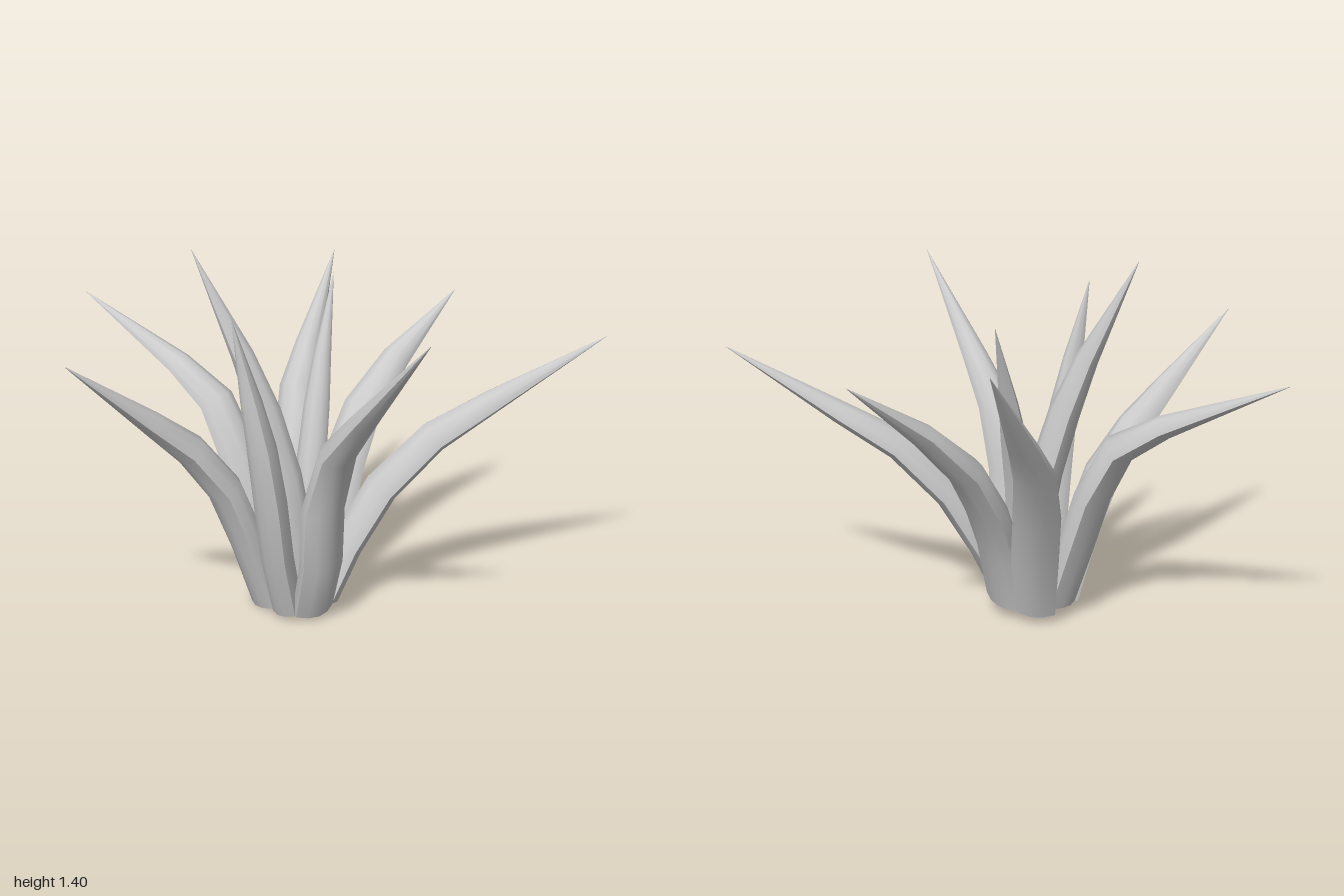
import * as THREE from 'three';

const material = new THREE.MeshStandardMaterial({ color: 0xcccccc, side: THREE.DoubleSide });

// Each leaf: width and depth factors, and its spine from base to tip
const LEAVES = {
  leftFrontLeaf: [0.92, 1, [[-0.01, 0.045, 0.09], [0.08, 0.25, 0.1], [0.215, 0.485, 0.135], [0.4, 0.685, 0.2], [0.61, 0.82, 0.27], [1, 1.08, 0.44]]],
  leftBackLeaf: [1.08, 1, [[0.04, 0.07, -0.05], [0.09, 0.3, -0.09], [0.17, 0.5, -0.15], [0.28, 0.69, -0.21], [0.46, 0.87, -0.265], [0.76, 1.1, -0.33]]],
  backLeaf: [0.95, 1, [[-0.03, 0.06, -0.14], [0, 0.29, -0.22], [0.04, 0.52, -0.33], [0.1, 0.73, -0.44], [0.19, 0.88, -0.54], [0.4, 1.21, -0.75]]],
  rightBackLeaf: [1, 1, [[-0.14, 0.07, -0.12], [-0.18, 0.3, -0.18], [-0.22, 0.54, -0.25], [-0.28, 0.75, -0.35], [-0.38, 0.87, -0.51], [-0.65, 1.1, -0.9]]],
  rightLeaf: [0.88, 1, [[-0.21, 0.025, 0], [-0.29, 0.28, 0.01], [-0.385, 0.52, 0.01], [-0.52, 0.7, 0.01], [-0.68, 0.84, 0.04], [-1, 1.11, 0.11]]],
  rightFrontLeaf: [0.68, 0.95, [[-0.18, 0.04, 0.13], [-0.24, 0.28, 0.18], [-0.28, 0.52, 0.22], [-0.32, 0.75, 0.24], [-0.36, 0.94, 0.24], [-0.43, 1.25, 0.24]]],
  frontLeaf: [0.9, 1, [[-0.1, 0.045, 0.17], [-0.105, 0.27, 0.26], [-0.105, 0.5, 0.28], [-0.085, 0.74, 0.37], [-0.055, 0.91, 0.53], [0.02, 1.28, 0.89]]],
  innerTallLeaf: [0.8, 1, [[-0.09, 0.05, 0.04], [-0.11, 0.3, 0.05], [-0.15, 0.55, 0.03], [-0.21, 0.8, -0.01], [-0.28, 1.02, -0.06], [-0.43, 1.41, -0.18]]],
  innerLeaf: [0.62, 0.6, [[-0.05, 0.05, -0.01], [-0.03, 0.3, -0.03], [0, 0.55, -0.07], [0.05, 0.76, -0.13], [0.095, 0.93, -0.18], [0.19, 1.24, -0.28]]],
};

// Half sizes at each ring, and the two curves of the section, flat outside
// and domed inside: [across, outward]
const HALF_WIDTH = [0.093, 0.098, 0.096, 0.083, 0.058, 0.001];
const HALF_DEPTH = [0.062, 0.068, 0.068, 0.062, 0.045, 0.001];
const OUTER = [[-1, 0.45], [-0.5, 0.86], [0, 1], [0.5, 0.86], [1, 0.45]];
const INNER = [[1, 0.45], [0.93, -0.15], [0.55, -0.75], [0, -1], [-0.55, -0.75], [-0.93, -0.15], [-1, 0.45]];

// Places a section point on a ring
function place({ centre, across, outward, width, depth }, [a, o]) {
  return centre.clone().addScaledVector(across, a * width).addScaledVector(outward, o * depth);
}

// Skins one curve of the section along the spine
function skin(frames, curve, positions, indices) {
  const start = positions.length / 3;
  const n = curve.length;
  frames.forEach((frame, r) => {
    for (const point of curve) positions.push(...place(frame, point).toArray());
    if (r === 0) return;
    for (let i = 0; i < n - 1; i++) {
      const a = start + (r - 1) * n + i;
      indices.push(a, a + 1, a + n, a + 1, a + n + 1, a + n);
    }
  });
}

function makeLeaf(name, [widthFactor, depthFactor, spine]) {
  const pts = spine.map((p) => new THREE.Vector3(...p));
  const last = pts.length - 1;
  const radial = pts[last].clone().sub(pts[0]).setY(0).normalize();
  const frames = pts.map((centre, i) => {
    const tangent = pts[Math.min(i + 1, last)].clone().sub(pts[Math.max(i - 1, 0)]).normalize();
    const across = new THREE.Vector3().crossVectors(tangent, radial).normalize();
    const outward = new THREE.Vector3().crossVectors(across, tangent).normalize();
    return { centre, across, outward, width: HALF_WIDTH[i] * widthFactor, depth: HALF_DEPTH[i] * depthFactor };
  });
  const positions = [];
  const indices = [];
  skin(frames, OUTER, positions, indices);
  skin(frames, INNER, positions, indices);

  // Closed base
  const first = positions.length / 3;
  const rim = [...OUTER, ...INNER.slice(1, -1)];
  for (const point of [[0, 0], ...rim]) positions.push(...place(frames[0], point).toArray());
  rim.forEach((_, i) => indices.push(first, first + 1 + ((i + 1) % rim.length), first + 1 + i));

  const geometry = new THREE.BufferGeometry();
  geometry.setAttribute('position', new THREE.Float32BufferAttribute(positions, 3));
  geometry.setIndex(indices);
  geometry.computeVertexNormals();
  const mesh = new THREE.Mesh(geometry, material);
  mesh.name = name;
  return mesh;
}

export function createModel() {
  const group = new THREE.Group();
  group.name = 'spikyPlant';
  for (const [name, leaf] of Object.entries(LEAVES)) group.add(makeLeaf(name, leaf));

  // Small core joining the leaf bases
  const core = new THREE.Mesh(new THREE.CylinderGeometry(0.12, 0.08, 0.08, 8), material);
  core.name = 'core';
  core.position.set(-0.08, 0.07, 0);
  group.add(core);
  return group;
}
